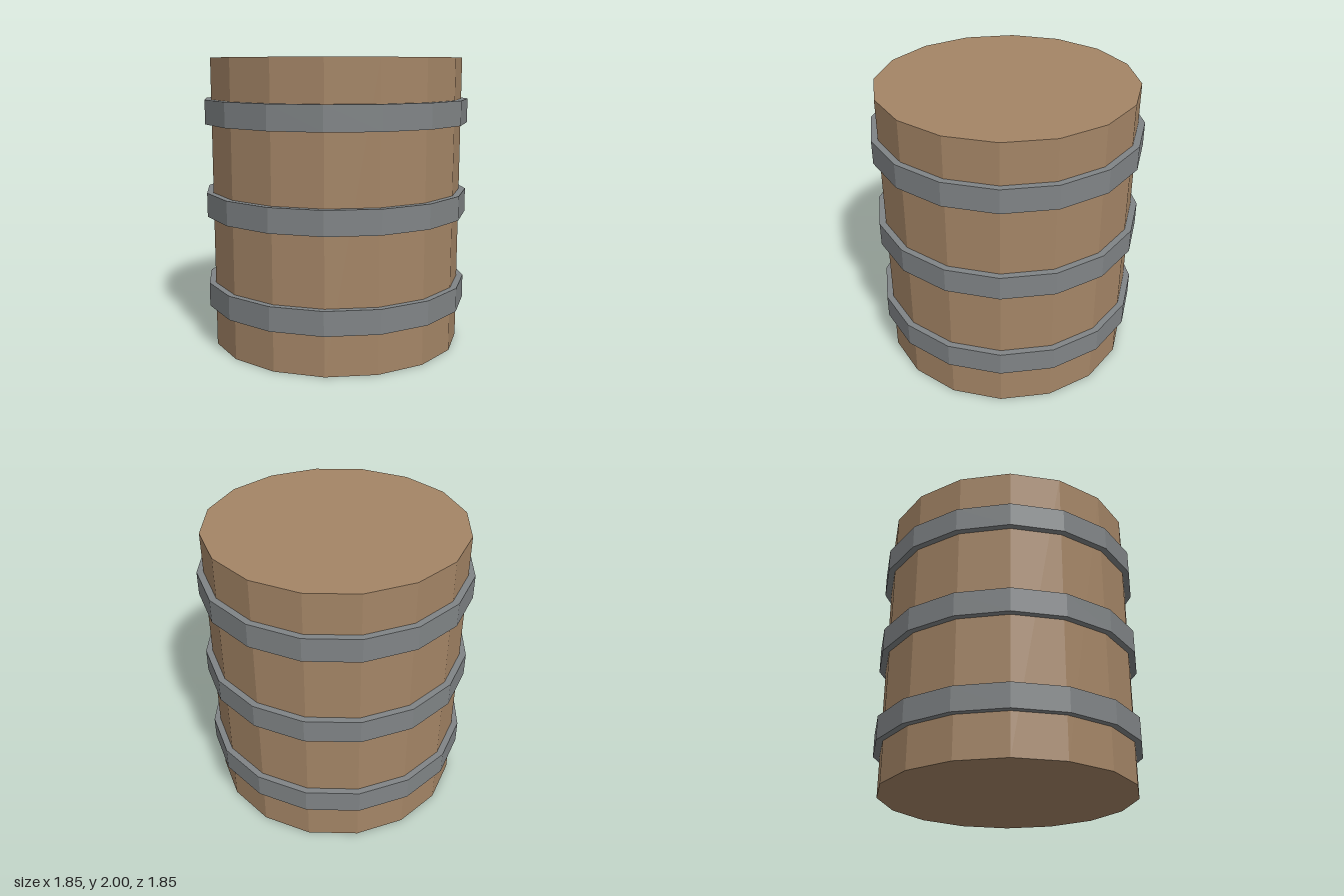
import * as THREE from 'three';

const SIDES = 16;

export function createModel() {
  const model = new THREE.Group();
  model.name = 'barrel';

  const wood = new THREE.MeshStandardMaterial({ color: 0xa48566, flatShading: true });
  const metal = new THREE.MeshStandardMaterial({ color: 0x808486, flatShading: true });

  // Straight faceted wooden body with closed ends
  const body = new THREE.Mesh(new THREE.CylinderGeometry(0.88, 0.88, 2, SIDES), wood);
  body.name = 'body';
  body.position.y = 1;
  model.add(body);

  // Three hoops, their inner faces sunk slightly into the body
  const inner = 0.85, outer = 0.925, half = 0.0825;
  const profile = [
    [inner, -half], [outer, -half], [outer, half], [inner, half], [inner, -half],
  ].map(([r, y]) => new THREE.Vector2(r, y));
  const hoopGeometry = new THREE.LatheGeometry(profile, SIDES);

  const hoops = { lowerHoop: 0.367, middleHoop: 1.003, upperHoop: 1.638 };
  for (const [name, y] of Object.entries(hoops)) {
    const hoop = new THREE.Mesh(hoopGeometry, metal);
    hoop.name = name;
    hoop.position.y = y;
    model.add(hoop);
  }

  return model;
}
